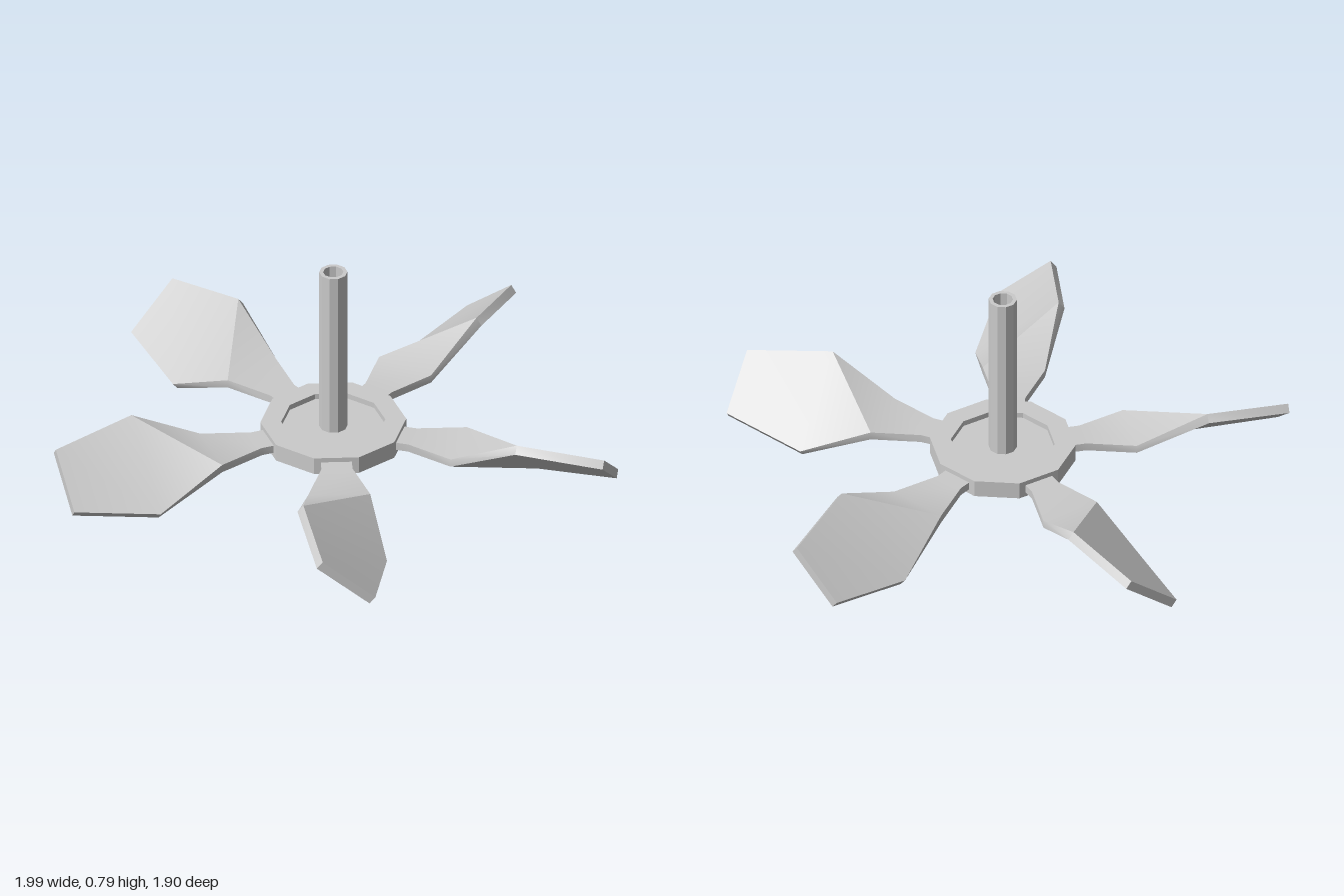
import * as THREE from 'three';
import { toCreasedNormals } from 'three/addons/utils/BufferGeometryUtils.js';

const MID = 0.133; // height of the hub's middle plane
const SIDES = 10;

// Ten-sided turned part from a closed [radius, y] profile, with a flat towards -z
function turned(name, profile, material) {
  const points = [...profile, profile[0]].map(([r, y]) => new THREE.Vector2(r, y));
  const mesh = new THREE.Mesh(new THREE.LatheGeometry(points, SIDES, Math.PI / SIDES), material);
  mesh.name = name;
  return mesh;
}

// Twisted blade along -z, lofted through rectangular sections
function bladeGeometry() {
  const pitch = THREE.MathUtils.degToRad(39);
  // distance from axis, half width, thickness, twist
  const sections = [
    [0.22, 0.055, 0.03, 0],
    [0.29, 0.055, 0.03, 0],
    [0.46, 0.11, 0.03, 0],
    [0.71, 0.19, 0.033, pitch],
    [1.015, 0.12, 0.033, pitch],
  ];
  const corners = [[1, -1], [1, 1], [-1, 1], [-1, -1]];
  const positions = [];
  const index = [];
  sections.forEach(([r, half, thick, twist], i) => {
    for (const [u, v] of corners) {
      const x = u * half;
      const y = v * thick / 2;
      positions.push(
        x * Math.cos(twist) - y * Math.sin(twist),
        x * Math.sin(twist) + y * Math.cos(twist),
        -r
      );
    }
    if (i === sections.length - 1) return;
    for (let j = 0; j < 4; j++) {
      const a = i * 4 + j;
      const b = i * 4 + (j + 1) % 4;
      index.push(a, a + 4, b, b, a + 4, b + 4);
    }
  });
  // End caps
  const e = (sections.length - 1) * 4;
  index.push(0, 1, 2, 0, 2, 3, e, e + 2, e + 1, e, e + 3, e + 2);

  const geometry = new THREE.BufferGeometry();
  geometry.setAttribute('position', new THREE.Float32BufferAttribute(positions, 3));
  geometry.setIndex(index);
  return toCreasedNormals(geometry, 0.7);
}

export function createModel() {
  const flat = new THREE.MeshStandardMaterial({ color: 0xcccccc, flatShading: true });
  const smooth = new THREE.MeshStandardMaterial({ color: 0xcccccc });

  const model = new THREE.Group();
  model.name = 'propeller';
  const rotor = new THREE.Group();
  rotor.name = 'rotor';
  rotor.position.set(0, MID, 0.06);
  model.add(rotor);

  // Hub: raised rim around a thin web, recessed above and below
  const rim = 0.0325;
  const web = 0.012;
  rotor.add(turned('hub', [
    [0.036, -web], [0.184, -web], [0.184, -rim], [0.258, -rim],
    [0.258, rim], [0.184, rim], [0.184, web], [0.036, web],
  ], flat));

  // Hollow shaft standing on the web
  rotor.add(turned('shaft', [
    [0.036, 0], [0.05, 0], [0.05, 0.655], [0.036, 0.655],
  ], flat));

  // Five blades around the hub
  const geometry = bladeGeometry();
  for (let i = 0; i < 5; i++) {
    const blade = new THREE.Mesh(geometry, smooth);
    blade.name = `blade${i + 1}`;
    blade.rotation.y = i * Math.PI * 2 / 5;
    rotor.add(blade);
  }
  return model;
}
